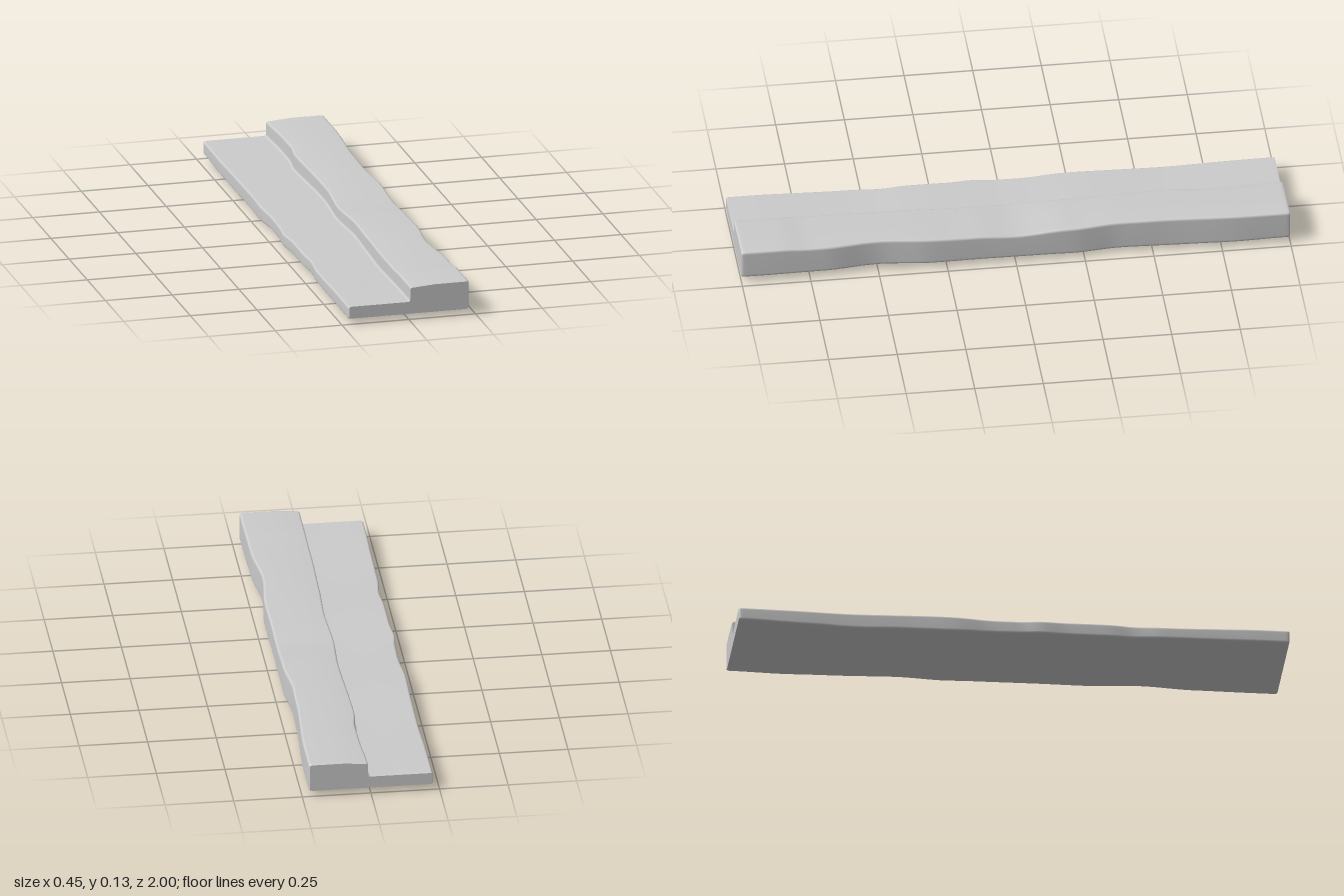
import * as THREE from 'three';

// Smoothly interpolated [z, value] keys along the length
const track = (keys) => (z) => {
  if (z <= keys[0][0]) return keys[0][1];
  for (let i = 1; i < keys.length; i++) {
    const [z0, v0] = keys[i - 1], [z1, v1] = keys[i];
    if (z <= z1) return v0 + (v1 - v0) * THREE.MathUtils.smoothstep(z, z0, z1);
  }
  return keys[keys.length - 1][1];
};

// Wear of the stone: inward dents and height changes
const leftDent = track([[-0.8, 0], [-0.6, 0.004], [-0.4, 0.003], [-0.22, 0], [-0.08, 0.009], [0.02, 0.007], [0.1, -0.001], [0.2, 0.006], [0.35, 0.006], [0.43, 0.012], [0.55, 0.003], [0.75, 0.002], [0.9, 0]]);
const rightDent = track([[-0.85, 0], [-0.5, 0.016], [-0.38, 0.018], [-0.2, 0.005], [0.1, 0.006], [0.3, 0.004], [0.5, 0.02], [0.7, 0.003], [0.9, 0]]);
const stepShift = track([[-1, 0.004], [-0.8, 0.012], [-0.7, 0.013], [-0.6, 0.002], [-0.2, 0.011], [0, 0.002], [0.2, 0.01], [0.4, 0.004], [0.6, 0], [1, 0]]);
const topDrop = track([[-0.8, 0], [-0.4, 0.001], [-0.2, 0.005], [0, 0.018], [0.15, 0.011], [0.4, 0.006], [0.75, 0.006], [0.85, 0]]);
const ledgeDrop = track([[-1, 0], [-0.6, 0.004], [-0.3, 0], [0, 0.005], [0.3, 0.002], [0.55, 0.006], [0.9, 0]]);
const sag = track([[-1, 0], [-0.75, 0.012], [-0.57, 0.02], [-0.4, 0.013], [-0.25, 0.014], [-0.1, 0.008], [0.2, 0.005], [0.5, 0.003], [1, 0]]);

// Stepped outline at z, anticlockwise: [x, y, corner radius]
function section(z, inset) {
  const l = -0.226 + leftDent(z), r = 0.226 - rightDent(z), s = 0.006 + stepShift(z);
  const top = 0.13 - topDrop(z), ledge = 0.068 - ledgeDrop(z), b = 0.021, d = sag(z);
  const corners = [
    [l, b - d * 0.6, 0.008], [-0.14, b - d, 0], [0, b - d * 0.75, 0], [0.12, b - d * 0.4, 0],
    [r, b - d * 0.35, 0.012], [r, top, 0.01], [0.1, top, 0],
    [s, 0.123 - topDrop(z) * 0.7, 0.008], [s, ledge, 0.009], [-0.1, ledge, 0], [l, ledge, 0.008],
  ].map(([x, y, rad]) => ({ p: new THREE.Vector2(x, y), rad }));
  const pts = [];
  corners.forEach(({ p, rad }, i) => {
    if (!rad) return pts.push(p);
    const toward = (k) => corners[(i + k + corners.length) % corners.length].p.clone().sub(p).setLength(rad).add(p);
    pts.push(...new THREE.QuadraticBezierCurve(toward(-1), p, toward(1)).getPoints(3));
  });
  return pts.map((p) => new THREE.Vector2(p.x * (1 - inset * 0.016), 0.06 + (p.y - 0.06) * (1 - inset * 0.05)));
}

export function createModel() {
  const group = new THREE.Group();
  const stations = [[-1, 1], [-0.997, 0.4], [-0.992, 0]];
  for (let i = 0; i <= 80; i++) stations.push([-0.98 + i * 0.0245, 0]);
  stations.push([0.992, 0], [0.997, 0.4], [1, 1]);

  // Loft the outline through all stations
  const pos = [], index = [];
  const loops = stations.map(([z, inset]) => section(z, inset));
  const n = loops[0].length;
  const addLoop = (k) => loops[k].forEach((p) => pos.push(p.x, p.y, stations[k][0]));
  loops.forEach((_, k) => addLoop(k));
  for (let k = 0; k < loops.length - 1; k++) {
    for (let j = 0; j < n; j++) {
      const a = k * n + j, b = k * n + (j + 1) % n;
      index.push(a, b, b + n, a, b + n, a + n);
    }
  }

  // Flat ends with their own vertices
  for (const k of [0, loops.length - 1]) {
    const base = pos.length / 3;
    addLoop(k);
    for (const [a, b, c] of THREE.ShapeUtils.triangulateShape(loops[k], [])) {
      index.push(base + a, base + (k ? b : c), base + (k ? c : b));
    }
  }

  const geometry = new THREE.BufferGeometry();
  geometry.setAttribute('position', new THREE.Float32BufferAttribute(pos, 3));
  geometry.setIndex(index);
  geometry.computeVertexNormals();
  const stone = new THREE.Mesh(geometry, new THREE.MeshStandardMaterial({ color: 0xcccccc }));
  stone.name = 'steppedCurbStone';
  group.add(stone);
  return group;
}
